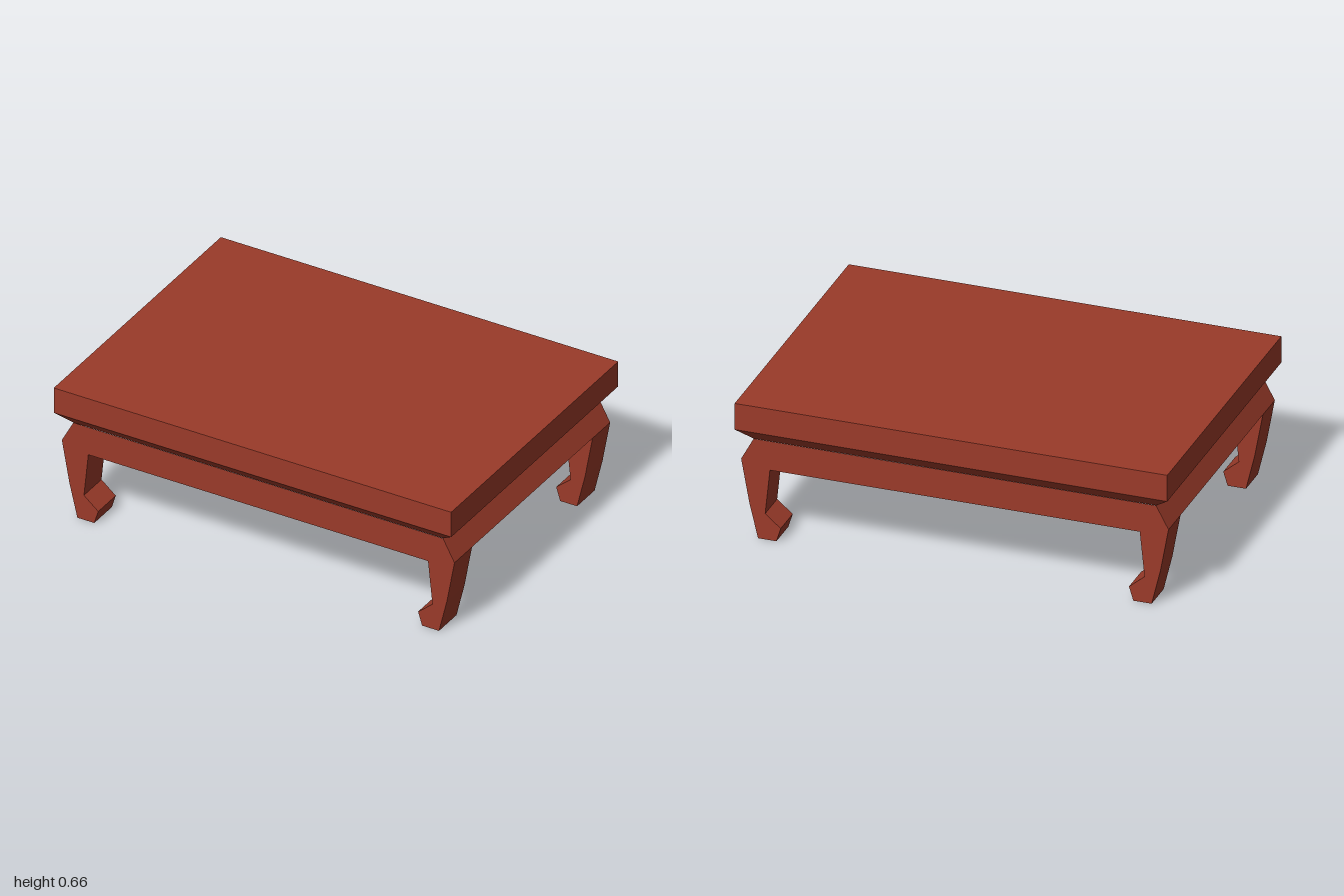
import * as THREE from 'three';

const HALF_DEPTH = 0.714, HEIGHT = 0.662, SLAB_BOTTOM = 0.535;
const NECK = 0.48, NECK_SCALE = 0.93;
const RAIL_Z = 0.665, LEG_Z = 0.515;

// Leg profile on the +x side
const railSide = [[0.93, NECK], [0.988, 0.373]];
const legOuter = [[0.988, 0.373], [0.95, 0.165], [0.91, 0]];
const legInner = [[0.825, 0], [0.805, 0.065], [0.877, 0.125], [0.855, 0.34]];

const mirror = (points) => points.map(([x, y]) => [-x, y]).reverse();

// Flat panel from an outline
function panel(points) {
  return new THREE.ShapeGeometry(new THREE.Shape(points.map(([x, y]) => new THREE.Vector2(x, y))));
}

// Sheet that sweeps a path along z, with a flat face for each step
function strip(path, z0, z1) {
  const positions = [];
  for (let i = 0; i < path.length - 1; i++) {
    const [p, q] = [path[i], path[i + 1]];
    const [a, b, c, d] = [[...p, z0], [...p, z1], [...q, z1], [...q, z0]];
    positions.push(...a, ...b, ...c, ...a, ...c, ...d);
  }
  const geometry = new THREE.BufferGeometry();
  geometry.setAttribute('position', new THREE.Float32BufferAttribute(positions, 3));
  geometry.computeVertexNormals();
  return geometry;
}

// Open four-sided band around the table
function band(bottomScale, bottom, top) {
  const geometry = new THREE.CylinderGeometry(Math.SQRT2, bottomScale * Math.SQRT2, top - bottom, 4, 1, true)
    .rotateY(Math.PI / 4)
    .scale(1, 1, HALF_DEPTH)
    .translate(0, (top + bottom) / 2, 0)
    .toNonIndexed();
  geometry.computeVertexNormals();
  return geometry;
}

export function createModel() {
  const group = new THREE.Group();
  const wood = new THREE.MeshStandardMaterial({ color: 0x9a3a29, side: THREE.DoubleSide });
  wood.name = 'red brown wood';

  const add = (parent, name, geometry) => {
    const mesh = new THREE.Mesh(geometry, wood);
    mesh.name = name;
    parent.add(mesh);
  };

  // Hollow table top with a sloped neck below it
  add(group, 'tableTop', new THREE.PlaneGeometry(2, 2 * HALF_DEPTH).rotateX(-Math.PI / 2).translate(0, HEIGHT, 0));
  add(group, 'tableEdge', band(1, SLAB_BOTTOM, HEIGHT));
  add(group, 'neck', band(NECK_SCALE, NECK, SLAB_BOTTOM));

  // Each half has one end panel, two hollow legs and one side rail
  const halfOutline = [railSide[0], ...legOuter, ...legInner];
  const legOutline = [...legOuter, ...legInner];
  for (const [name, turn] of [['frontHalf', 0], ['backHalf', Math.PI]]) {
    const half = new THREE.Group();
    half.name = name;
    half.rotation.y = turn;
    group.add(half);

    add(half, 'railAndLegFronts', panel([...halfOutline, ...mirror(halfOutline)]).translate(0, 0, RAIL_Z));
    add(half, 'sideRail', strip(railSide, -RAIL_Z, RAIL_Z));

    for (const [legName, side] of [['leftLeg', (p) => p], ['rightLeg', mirror]]) {
      const leg = new THREE.Group();
      leg.name = legName;
      half.add(leg);
      add(leg, 'legOuterSide', strip(side(legOuter), LEG_Z, RAIL_Z));
      add(leg, 'legInnerSide', strip(side(legInner), LEG_Z, RAIL_Z));
      // The back of the leg faces the middle of the table
      add(leg, 'legBack', panel(mirror(side(legOutline))).rotateY(Math.PI).translate(0, 0, LEG_Z));
    }
  }

  return group;
}
